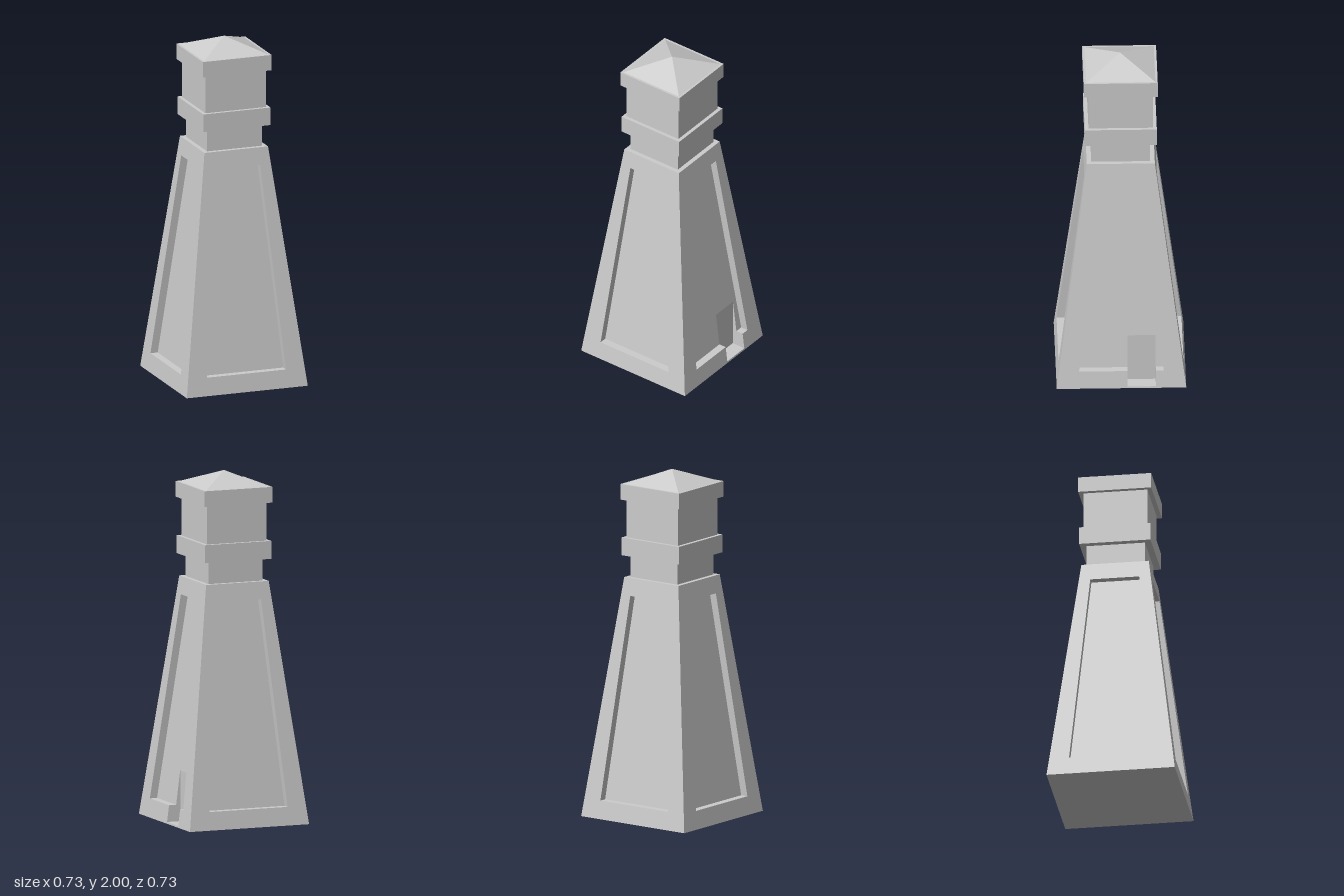
import * as THREE from 'three';

const grey = new THREE.MeshStandardMaterial({ color: 0xcccccc, flatShading: true, side: THREE.DoubleSide });

// Body dimensions: half widths, height, panel inset and panel outline
const BASE = 0.367, TOP = 0.193, HEIGHT = 1.38, INSET = 0.044;
const PB = { half: 0.24, y: 0.105 }, PT = { half: 0.14, y: 1.28 };
// Doorway notch
const DOOR = { u0: 0.035, u1: 0.195, y0: 0.01, y1: 0.3, back: 0.284 };

const wallDepth = y => BASE - (BASE - TOP) * y / HEIGHT;
const panelDepth = y => wallDepth(y) - INSET;
const doorDepth = () => DOOR.back;

function mesh(name, geometry) {
  const m = new THREE.Mesh(geometry, grey);
  m.name = name;
  return m;
}

const toShape = points => new THREE.Shape(points.map(([u, y]) => new THREE.Vector2(u, y)));

// Flat outline pushed out to a depth that depends on height
function sheet(name, outline, depth, hole) {
  const shape = toShape(outline);
  if (hole) shape.holes.push(toShape(hole));
  const geo = new THREE.ShapeGeometry(shape);
  const p = geo.attributes.position;
  for (let i = 0; i < p.count; i++) p.setZ(i, depth(p.getY(i)));
  geo.computeVertexNormals();
  return mesh(name, geo);
}

// Strip of quads following an outline between two depths
function reveal(name, outline, front, back) {
  const v = [];
  for (let i = 0; i < outline.length - 1; i++) {
    const [u, y] = outline[i], [s, t] = outline[i + 1];
    const a = [u, y, front(y)], b = [s, t, front(t)];
    const c = [s, t, back(t)], d = [u, y, back(y)];
    v.push(...a, ...d, ...c, ...a, ...c, ...b);
  }
  const geo = new THREE.BufferGeometry();
  geo.setAttribute('position', new THREE.Float32BufferAttribute(v, 3));
  geo.computeVertexNormals();
  return mesh(name, geo);
}

// One sloping side with a sunken panel, optionally with a doorway
function side(hasDoor) {
  const g = new THREE.Group();
  g.name = hasDoor ? 'doorSide' : 'side';
  const outer = [[-BASE, 0], [BASE, 0], [TOP, HEIGHT], [-TOP, HEIGHT]];
  const right = [[PB.half, PB.y], [PT.half, PT.y]];
  const left = [[-PT.half, PT.y], [-PB.half, PB.y]];
  const { u0, u1, y0, y1 } = DOOR;
  const rim = [...right, ...left];
  let hole = rim, panel = rim, edge = [...rim, rim[0]];

  if (hasDoor) {
    const step = [[u0, PB.y], [u0, y0], [u1, y0], [u1, PB.y]];
    const arch = [[u0, PB.y], [u0, y1], [u1, y1], [u1, PB.y]];
    hole = [...rim, ...step];
    panel = [...rim, ...arch];
    edge = [step[3], ...rim, step[0]];
    g.add(
      reveal('doorStep', step, wallDepth, doorDepth),
      reveal('doorSurround', arch, panelDepth, doorDepth),
      sheet('door', [[u0, y0], [u1, y0], [u1, y1], [u0, y1]], doorDepth)
    );
  }
  g.add(
    sheet('frame', outer, wallDepth, hole),
    sheet('panel', panel, panelDepth),
    reveal('panelEdge', edge, wallDepth, panelDepth)
  );
  return g;
}

function block(name, half, y0, y1) {
  const m = mesh(name, new THREE.BoxGeometry(half * 2, y1 - y0, half * 2));
  m.position.y = (y0 + y1) / 2;
  return m;
}

function slab(name, half, y, up) {
  const m = mesh(name, new THREE.PlaneGeometry(half * 2, half * 2));
  m.rotation.x = up ? -Math.PI / 2 : Math.PI / 2;
  m.position.y = y;
  return m;
}

export function createModel() {
  const model = new THREE.Group();
  model.name = 'tower';

  // Tapered body
  const body = new THREE.Group();
  body.name = 'body';
  for (let i = 0; i < 4; i++) {
    const s = side(i === 1);
    s.rotation.y = i * Math.PI / 2;
    body.add(s);
  }
  body.add(slab('bodyBottom', BASE, 0, false), slab('bodyTop', TOP, HEIGHT, true));

  // Stacked square head
  model.add(
    body,
    block('neck', 0.167, HEIGHT, 1.507),
    block('gallery', 0.204, 1.507, 1.61),
    block('lanternRoom', 0.183, 1.61, 1.83),
    block('cornice', 0.209, 1.83, 1.92)
  );

  // Pyramid roof
  const roof = mesh('roof', new THREE.ConeGeometry(0.196 * Math.SQRT2, 0.08, 4).rotateY(Math.PI / 4));
  roof.position.y = 1.96;
  model.add(roof);
  return model;
}
